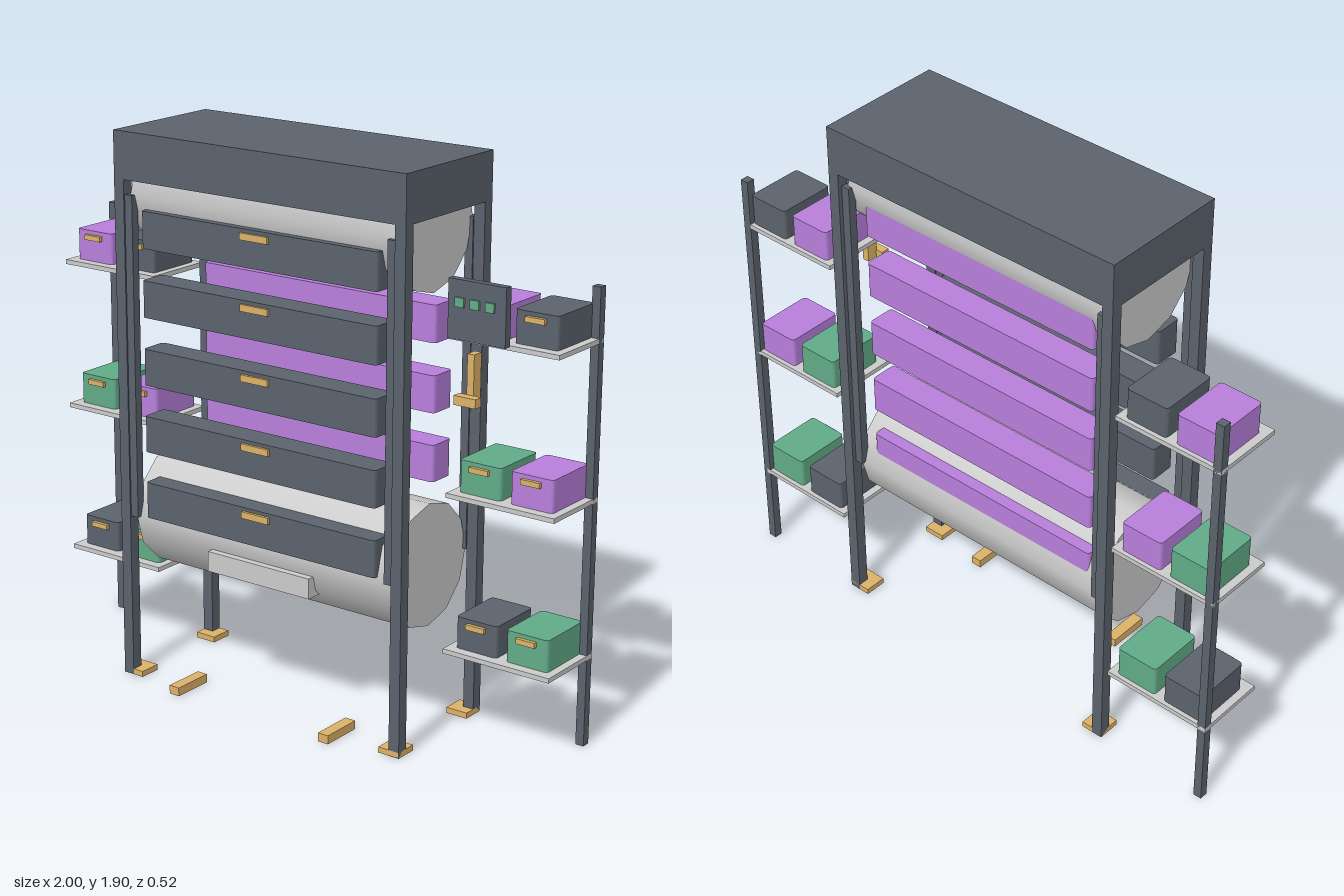
import * as THREE from 'three';

const material = (color) => new THREE.MeshStandardMaterial({ color });

export function createModel() {
  const root = new THREE.Group();
  const dark = material(0x5c636d), grey = material(0xcccccc), purple = material(0xb87fdc);
  const green = material(0x62ab87), gold = material(0xdcb268);

  const add = (name, geometry, mat, x = 0, y = 0, z = 0) => {
    const mesh = new THREE.Mesh(geometry, mat);
    mesh.name = name;
    mesh.position.set(x, y, z);
    root.add(mesh);
    return mesh;
  };

  // Box given by its limits along each axis
  const box = (name, mat, [x0, x1], [y0, y1], [z0, z1]) =>
    add(name, new THREE.BoxGeometry(x1 - x0, y1 - y0, z1 - z0), mat,
      (x0 + x1) / 2, (y0 + y1) / 2, (z0 + z1) / 2);

  // Upright bin with rounded corners in plan, standing on y
  const bin = (name, mat, w, h, d, x, y, z) => {
    const r = 0.014, a = w / 2, b = d / 2;
    const s = new THREE.Shape();
    s.moveTo(-a + r, -b);
    s.lineTo(a - r, -b);
    s.quadraticCurveTo(a, -b, a, -b + r);
    s.lineTo(a, b - r);
    s.quadraticCurveTo(a, b, a - r, b);
    s.lineTo(-a + r, b);
    s.quadraticCurveTo(-a, b, -a, b - r);
    s.lineTo(-a, -b + r);
    s.quadraticCurveTo(-a, -b, -a + r, -b);
    const g = new THREE.ExtrudeGeometry(s, { depth: h, bevelEnabled: false, curveSegments: 4 });
    g.rotateX(-Math.PI / 2);
    add(name, g, mat, x, y, z);
  };

  // Hood
  box('hood', dark, [-0.58, 0.58], [1.74, 1.9], [-0.26, 0.21]);

  // Frame posts, feet, pedals and guide rails
  for (const s of [-1, 1]) {
    const span = (a, b) => (s > 0 ? [a, b] : [-b, -a]);
    for (const z of [0.19, -0.24]) {
      box('framePost', dark, span(0.54, 0.58), [0, 1.74], [z - 0.02, z + 0.02]);
      const f = z > 0 ? 0.17 : -0.22;
      box('foot', gold, span(0.5, 0.58), [0, 0.02], [f - 0.04, f + 0.04]);
    }
    for (const z of [0.19, -0.23]) {
      box('guideRail', dark, span(0.51, 0.54), [0.58, 1.69], [z - 0.015, z + 0.015]);
    }
    box('pedal', gold, span(0.295, 0.335), [0, 0.03], [0.11, 0.26]);
  }

  // Upper and lower drums
  for (const [name, y] of [['upperDrum', 1.69], ['lowerDrum', 0.58]]) {
    const g = new THREE.CylinderGeometry(0.21, 0.21, 1.055, 12);
    g.rotateZ(Math.PI / 2);
    add(name, g, grey, 0, y, -0.02);
  }
  box('drumLedge', grey, [-0.21, 0.21], [0.455, 0.525], [0.13, 0.2]);

  // Moving trays, front and back
  for (let i = 0; i < 5; i++) {
    const y = 0.59 + i * 0.2325;
    bin('frontTray', dark, 0.945, 0.125, 0.1, 0, y, 0.155);
    bin('backTray', purple, 0.945, 0.125, 0.1, 0, y, -0.165);
    box('trayHandle', gold, [-0.055, 0.055], [y + 0.09, y + 0.113], [0.2, 0.215]);
  }

  // Side shelves with pairs of bins
  const rows = [
    [0.3, dark, green],
    [0.83, green, purple],
    [1.35, purple, dark],
  ];
  for (const s of [-1, 1]) {
    const span = (a, b) => (s > 0 ? [a, b] : [-b, -a]);
    box('shelfPost', dark, span(0.97, 1), [0, 1.53], [-0.26, -0.23]);
    for (const [y, first, second] of rows) {
      box('shelf', grey, span(0.6, 1), [y, y + 0.016], [-0.26, 0]);
      for (const [x, mat] of [[s * 0.8 - 0.095, first], [s * 0.8 + 0.095, second]]) {
        bin('shelfBin', mat, 0.155, 0.108, 0.21, x, y + 0.016, -0.14);
        box('binHandle', gold, [x - 0.035, x + 0.035], [y + 0.092, y + 0.11], [-0.036, -0.022]);
      }
    }
  }

  // Control panel with buttons
  box('controlPanel', dark, [0.63, 0.84], [1.37, 1.56], [0.025, 0.052]);
  for (const x of [0.675, 0.73, 0.785]) {
    box('button', green, [x - 0.016, x + 0.016], [1.475, 1.505], [0.05, 0.06]);
  }

  // Hand lever under the panel
  box('leverArm', gold, [0.72, 0.745], [1.18, 1.34], [0.035, 0.075]);
  box('leverGrip', gold, [0.692, 0.772], [1.18, 1.21], [0.073, 0.105]);

  return root;
}
